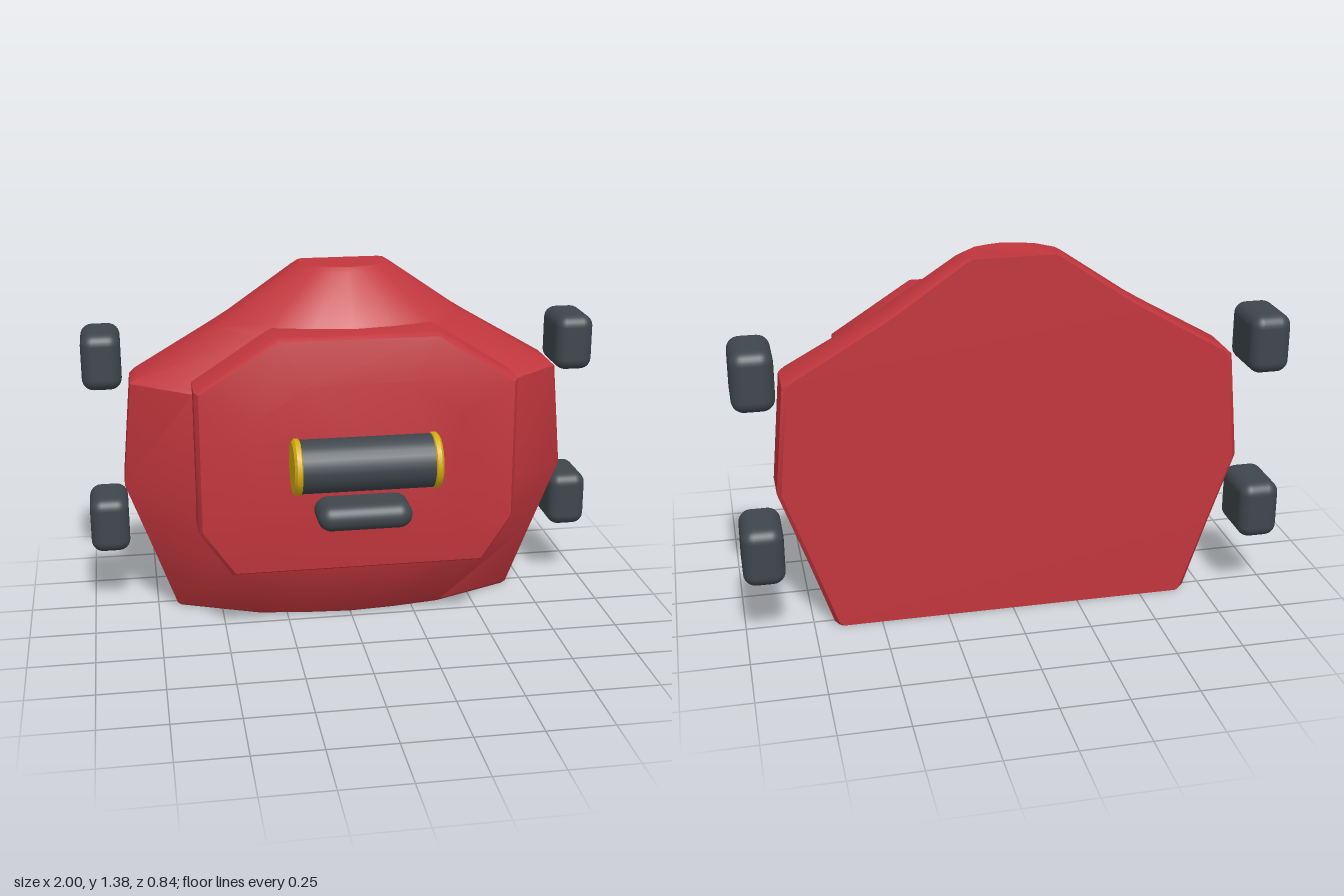
import * as THREE from 'three';
import { toCreasedNormals } from 'three/addons/utils/BufferGeometryUtils.js';
import { RoundedBoxGeometry } from 'three/addons/geometries/RoundedBoxGeometry.js';

// Closed skin through equal-length loops, with flat end caps
function loft(loops) {
  const n = loops[0].length, index = [];
  for (let i = 0; i < loops.length - 1; i++) {
    for (let j = 0; j < n; j++) {
      const a = i * n + j, b = i * n + (j + 1) % n;
      index.push(a, b, b + n, a, b + n, a + n);
    }
  }
  const top = (loops.length - 1) * n;
  for (let j = 1; j < n - 1; j++) {
    index.push(0, j + 1, j, top, top + j, top + j + 1);
  }
  const g = new THREE.BufferGeometry();
  g.setAttribute('position', new THREE.Float32BufferAttribute(loops.flat(2), 3));
  g.setIndex(index);
  return toCreasedNormals(g, 0.6);
}

// Horizontal body section: half width, side depth, shoulder point, centre depth
function bodyLoop([y, w, side, mx, mz, c]) {
  const half = [
    [w - 0.015, -0.3], [w, -0.285], [w, side], [mx, mz],
    [mx * 0.5, mz + (c - mz) * 0.65],
  ];
  return [
    ...half.map(([x, z]) => [-x, y, z]),
    [0, y, c],
    ...half.reverse().map(([x, z]) => [x, y, z]),
  ];
}

export function createModel() {
  const red = new THREE.MeshStandardMaterial({ color: 0xc1363d });
  red.name = 'red shell';
  const dark = new THREE.MeshStandardMaterial({ color: 0x3f464c });
  dark.name = 'dark grey';
  const yellow = new THREE.MeshStandardMaterial({ color: 0xd4ac0d });
  yellow.name = 'yellow';

  const model = new THREE.Group();
  model.name = 'model';
  const add = (name, geometry, material, x = 0, y = 0, z = 0) => {
    const mesh = new THREE.Mesh(geometry, material);
    mesh.name = name;
    mesh.position.set(x, y, z);
    model.add(mesh);
    return mesh;
  };

  // Main shell: flat back, bulging front
  const sections = [
    [0, 0.66, -0.21, 0.36, -0.085, -0.045],
    [0.015, 0.675, -0.2, 0.37, -0.07, -0.025],
    [0.28, 0.765, -0.165, 0.5, 0.02, 0.07],
    [0.55, 0.86, -0.135, 0.6, 0.053, 0.1],
    [0.955, 0.822, -0.125, 0.6, 0.05, 0.1],
    [0.975, 0.8, -0.13, 0.58, 0.035, 0.1],
    [1.15, 0.5, -0.16, 0.32, 0.01, 0.08],
    [1.19, 0.435, -0.165, 0.29, -0.005, 0.055],
    [1.36, 0.19, -0.19, 0.12, -0.125, -0.085],
    [1.375, 0.165, -0.2, 0.11, -0.14, -0.105],
  ];
  add('shell', loft(sections.map(bodyLoop)), red);

  // Raised front panel: chamfered octagon with a gently sloping rim
  const right = [[0.48, 0.28, 0.185], [0.6, 0.45, 0.17], [0.6, 0.99, 0.165], [0.3, 1.18, 0.17]];
  const outline = [...right, ...right.map(([x, y, z]) => [-x, y, z]).reverse()];
  const cy = 0.73;
  const ring = (s, depth) => outline.map(([x, y, rim]) => [x * s, cy + (y - cy) * s, depth(rim)]);
  add('frontPanel', loft([
    ring(1, () => -0.01),
    ring(1, (rim) => rim - 0.02),
    ring(0.975, (rim) => rim),
    ring(0.63, () => 0.21),
  ]), red);

  // Corner pads
  const padGeometry = new RoundedBoxGeometry(0.15, 0.22, 0.24, 4, 0.045);
  for (const sx of [-1, 1]) {
    for (const [label, y] of [['upper', 1.02], ['lower', 0.36]]) {
      add(`${label}${sx > 0 ? 'Left' : 'Right'}Pad`, padGeometry, dark, sx * 0.925, y, -0.3);
    }
  }

  // Horizontal roller with yellow end caps
  const roller = new THREE.CylinderGeometry(0.098, 0.098, 0.49, 24).rotateZ(Math.PI / 2);
  add('roller', roller, dark, 0, 0.747, 0.315);
  const capProfile = [[0, -0.017], [0.092, -0.017], [0.103, -0.008], [0.103, 0.008], [0.092, 0.017], [0, 0.017]]
    .map(([r, h]) => new THREE.Vector2(r, h));
  const cap = toCreasedNormals(new THREE.LatheGeometry(capProfile, 20).rotateZ(Math.PI / 2), 0.6);
  for (const sx of [-1, 1]) {
    add(sx > 0 ? 'leftRollerCap' : 'rightRollerCap', cap, yellow, sx * 0.251, 0.747, 0.315);
  }

  // Rounded bar under the roller
  add('lowerBar', new RoundedBoxGeometry(0.35, 0.1, 0.2, 5, 0.05), dark, 0, 0.54, 0.25);

  return model;
}
